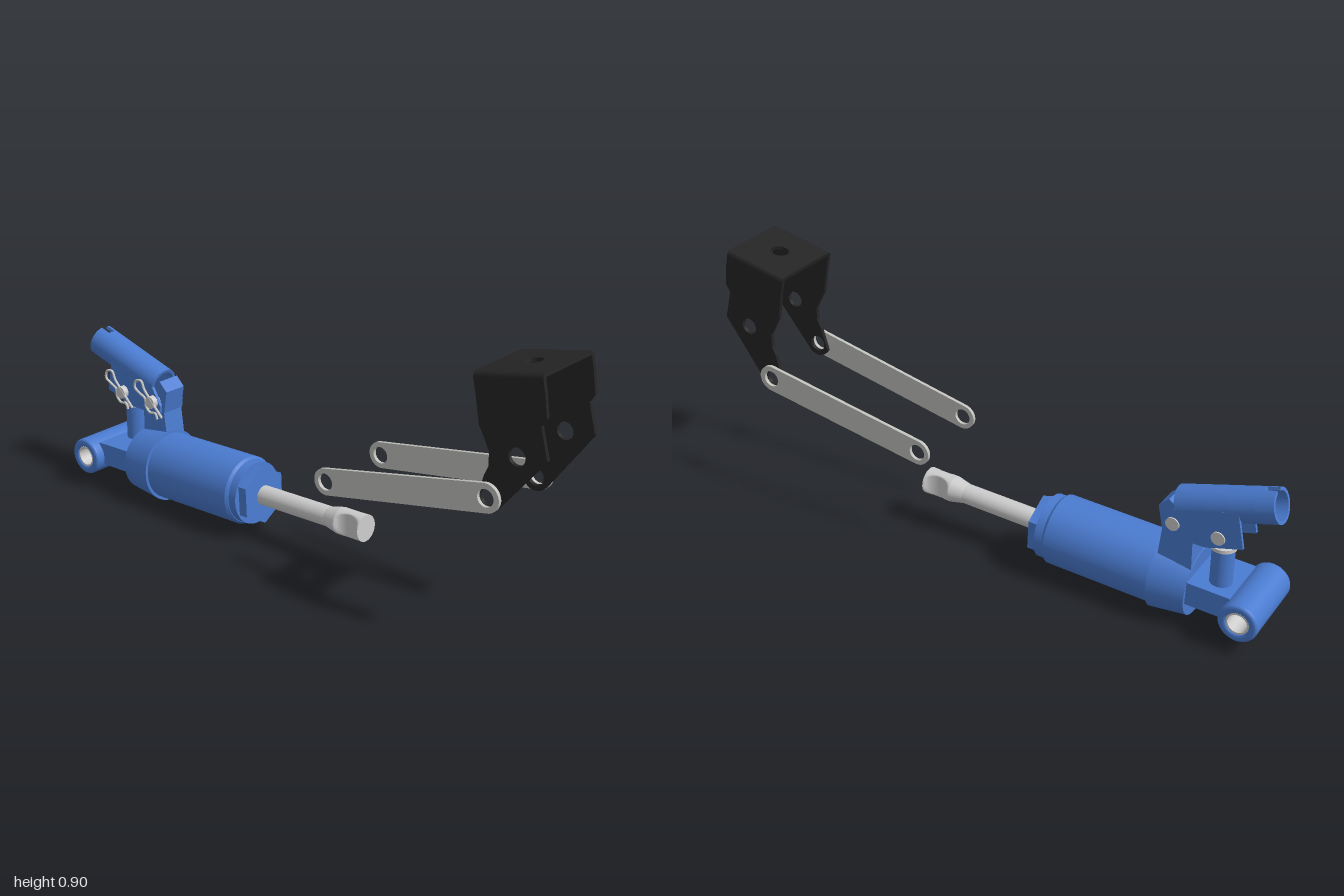
import * as THREE from 'three';

const paint = (color) => new THREE.MeshStandardMaterial({ color, side: THREE.DoubleSide });
const blue = paint(0x4a7bd0), black = paint(0x242424), grey = paint(0xcccccc), linkGrey = paint(0xbfbfbb);

function add(parent, name, geo, mat, x = 0, y = 0, z = 0) {
  const m = new THREE.Mesh(geo, mat);
  m.name = name;
  m.position.set(x, y, z);
  parent.add(m);
  return m;
}
function group(parent, name, x = 0, y = 0, z = 0, rz = 0) {
  const g = new THREE.Group();
  g.name = name;
  g.position.set(x, y, z);
  g.rotation.z = rz;
  parent.add(g);
  return g;
}
const extrude = (shape, depth, bevel = 0) => new THREE.ExtrudeGeometry(shape, {
  depth, curveSegments: 24, bevelEnabled: bevel > 0, bevelSize: bevel, bevelThickness: bevel, bevelOffset: -bevel, bevelSegments: 3,
});
const polygon = (pts) => new THREE.Shape(pts.map(([x, y]) => new THREE.Vector2(x, y)));
function hole(shape, x, y, r) {
  shape.holes.push(new THREE.Path().absarc(x, y, r, 0, Math.PI * 2, true));
  return shape;
}
// Arc-shaped wall section; a full turn gives a ring
function ring(ro, ri, a0 = 0, a1 = Math.PI * 2) {
  const s = new THREE.Shape();
  s.absarc(0, 0, ro, a0, a1, false);
  if (a1 - a0 > 6.28) return hole(s, 0, 0, ri);
  s.absarc(0, 0, ri, a1, a0, true);
  return s;
}
// Cylinder or cone running along x from u0 to u1
function along(u0, u1, r0, r1 = r0, sides = 48) {
  const g = new THREE.CylinderGeometry(r1, r0, u1 - u0, sides);
  return g.rotateZ(-Math.PI / 2).translate((u0 + u1) / 2, 0, 0);
}

// Round rod tip with a scooped groove on both z sides
function rodTip(u0, u1, r) {
  const pos = [], idx = [], rows = 24, n = 48, mid = (u0 + u1) / 2, half = (u1 - u0) / 2;
  for (let i = 0; i <= rows; i++) {
    const u = u0 + (u1 - u0) * i / rows, t = (u - mid) / (half * 0.92);
    const w = Math.abs(t) < 1 ? r - 0.027 * Math.sqrt(1 - t * t) : r;
    for (let j = 0; j < n; j++) {
      const a = j / n * Math.PI * 2;
      pos.push(u, r * Math.cos(a), THREE.MathUtils.clamp(r * Math.sin(a), -w, w));
      if (i < rows) {
        const p = i * n + j, q = i * n + (j + 1) % n;
        idx.push(p, q, p + n, q, q + n, p + n);
      }
    }
  }
  const g = new THREE.BufferGeometry();
  g.setAttribute('position', new THREE.Float32BufferAttribute(pos, 3));
  g.setIndex(idx);
  g.computeVertexNormals();
  return g;
}

function buildCylinder(root) {
  const jack = group(root, 'hydraulicCylinder', -0.917, 0.123, 0, 0.042);
  add(jack, 'mountingEye', extrude(ring(0.065, 0.036), 0.25, 0.01), blue, 0, 0, -0.125);
  add(jack, 'eyeBush', extrude(ring(0.038, 0.032), 0.262), grey, 0, 0, -0.131);
  add(jack, 'eyeArm', new THREE.BoxGeometry(0.16, 0.08, 0.2), blue, 0.125, 0.014, 0);
  add(jack, 'baseCone', along(0.187, 0.31, 0.113, 0.128), blue);
  add(jack, 'barrel', along(0.3, 0.68, 0.118), blue);
  add(jack, 'barrelEdge', along(0.68, 0.69, 0.118, 0.11), blue);
  add(jack, 'collar', along(0.69, 0.72, 0.108), blue);
  // Hexagon nut with its points up and down
  const nut = new THREE.CylinderGeometry(0.102, 0.102, 0.06, 6).toNonIndexed();
  nut.computeVertexNormals();
  add(jack, 'hexNut', nut.rotateX(0).rotateY(Math.PI / 2).rotateZ(-Math.PI / 2), blue, 0.722, 0, 0);
  add(jack, 'rod', along(0.74, 1.05, 0.034), grey);
  add(jack, 'rodFlare', along(1.04, 1.09, 0.034, 0.045), grey);
  add(jack, 'rodTip', rodTip(1.09, 1.19, 0.045), grey);
  add(jack, 'rodEndCap', along(1.189, 1.191, 0.045), grey);
}

function buildPump(root) {
  const cz = -0.031, r = 0.056, wall = 0.011;
  const pump = group(root, 'pump');
  const column = polygon([[-0.733, 0.19], [-0.73, 0.33], [-0.7, 0.4], [-0.645, 0.444], [-0.612, 0.412], [-0.628, 0.33], [-0.612, 0.19]]);
  add(pump, 'pivotColumn', extrude(column, 0.084), blue, 0, 0, -0.074);
  add(pump, 'pumpBarrel', new THREE.CylinderGeometry(0.036, 0.036, 0.16, 32), blue, -0.815, 0.23, cz);
  add(pump, 'pumpSeal', new THREE.CylinderGeometry(0.042, 0.042, 0.012, 32), grey, -0.815, 0.314, cz);
  add(pump, 'plunger', new THREE.CylinderGeometry(0.024, 0.024, 0.1, 32), grey, -0.815, 0.355, cz);

  // Handle socket: slotted mouth, full tube, then an open arch
  const socket = group(pump, 'handleSocket', -0.981, 0.511, cz, -0.288);
  const up = Math.PI / 2;
  [['socketMouth', 0, 0.04, up + 0.22, up - 0.22 + Math.PI * 2],
    ['socketTube', 0.04, 0.12, 0, Math.PI * 2],
    ['socketArch', 0.16, 0.164, 0, Math.PI]].forEach(([name, u, len, a0, a1]) =>
    add(socket, name, extrude(ring(r, r - wall, a0, a1), len).rotateY(up), blue, u, 0, 0));

  // Side cheeks and the two pins with their spring clips
  const pins = [[-0.815, 0.369], [-0.666, 0.369]];
  const cheek = polygon([[-0.872, 0.478], [-0.896, 0.358], [-0.821, 0.337], [-0.778, 0.324], [-0.637, 0.324], [-0.632, 0.36], [-0.667, 0.419]]);
  pins.forEach(([x, y]) => hole(cheek, x, y, 0.024));
  for (const z of [cz + r - wall, cz - r]) add(pump, 'socketCheek', extrude(cheek, wall), blue, 0, 0, z);

  const wire = [[0.07, 0.01], [0, 0.01], [-0.05, 0.012], [-0.078, 0.022], [-0.094, 0], [-0.08, -0.024], [-0.05, -0.018],
    [-0.025, -0.01], [0, -0.028], [0.025, -0.026], [0.042, -0.006], [0.062, -0.014]];
  const curve = new THREE.CatmullRomCurve3(wire.map(([x, y]) => new THREE.Vector3(x, y, 0)));
  for (const [x, y] of pins) {
    add(pump, 'pin', new THREE.CylinderGeometry(0.022, 0.022, 0.132, 24).rotateX(up), grey, x, y, -0.023);
    add(pump, 'springClip', new THREE.TubeGeometry(curve, 72, 0.0045, 8), grey, x, y, 0.04).rotation.z = -0.78;
  }
}

function buildLink(root, name, z, endY) {
  const x0 = 0.222, y0 = 0.369, dx = 0.812 - x0, dy = endY - y0, len = Math.hypot(dx, dy), r = 0.044;
  const s = new THREE.Shape();
  s.absarc(0, 0, r, Math.PI / 2, Math.PI * 1.5, false);
  s.absarc(len, 0, r + 0.002, -Math.PI / 2, Math.PI / 2, false);
  hole(hole(s, 0, 0, 0.028), len, 0, 0.028);
  add(root, name, extrude(s, 0.012), linkGrey, x0, y0, z).rotation.z = Math.atan2(dy, dx);
}

function buildBracket(root) {
  const t = 0.013, half = 0.13, bend = 0.02;
  const bracket = group(root, 'bracket');
  // Angled side plates with a rounded lower eye
  for (const [z, cy] of [[half - t, 0.497], [-half, 0.475]]) {
    const s = polygon([[0.751, 0.807], [0.976, 0.856], [0.987, 0.781], [0.971, 0.754], [0.997, 0.658]]);
    s.absarc(0.812, cy, 0.045, -0.7, -2.7, true);
    [[0.795, 0.56], [0.808, 0.59], [0.808, 0.636], [0.782, 0.685], [0.77, 0.705]].forEach(([x, y]) => s.lineTo(x, y));
    hole(hole(s, 0.812, cy, 0.028), 0.9, 0.645, 0.028);
    add(bracket, 'bracketSide', extrude(s, t), black, 0, 0, z);
  }
  // Tilted top plate with bent edges
  const w = 0.23, top = group(bracket, 'bracketTop', 0.74, 0.857, 0, 0.211);
  const flat = hole(polygon([[0, bend - half], [w, bend - half], [w, half - bend], [0, half - bend]]), w / 2, 0, 0.03);
  add(top, 'topPlate', extrude(flat, t).rotateX(Math.PI / 2), black);
  for (const side of [1, -1]) {
    const s = new THREE.Shape();
    s.moveTo(side * half, -0.052);
    s.lineTo(side * half, -bend);
    s.quadraticCurveTo(side * half, 0, side * (half - bend), 0);
    s.lineTo(side * (half - bend), -t);
    s.quadraticCurveTo(side * (half - t), -t, side * (half - t), -bend);
    s.lineTo(side * (half - t), -0.052);
    add(top, 'bentEdge', extrude(s, w).rotateY(Math.PI / 2), black);
  }
}

export function createModel() {
  const root = new THREE.Group();
  root.name = 'hydraulicJackAssembly';
  buildCylinder(root);
  buildPump(root);
  buildLink(root, 'leftLink', 0.131, 0.497);
  buildLink(root, 'rightLink', -0.143, 0.475);
  buildBracket(root);
  return root;
}
